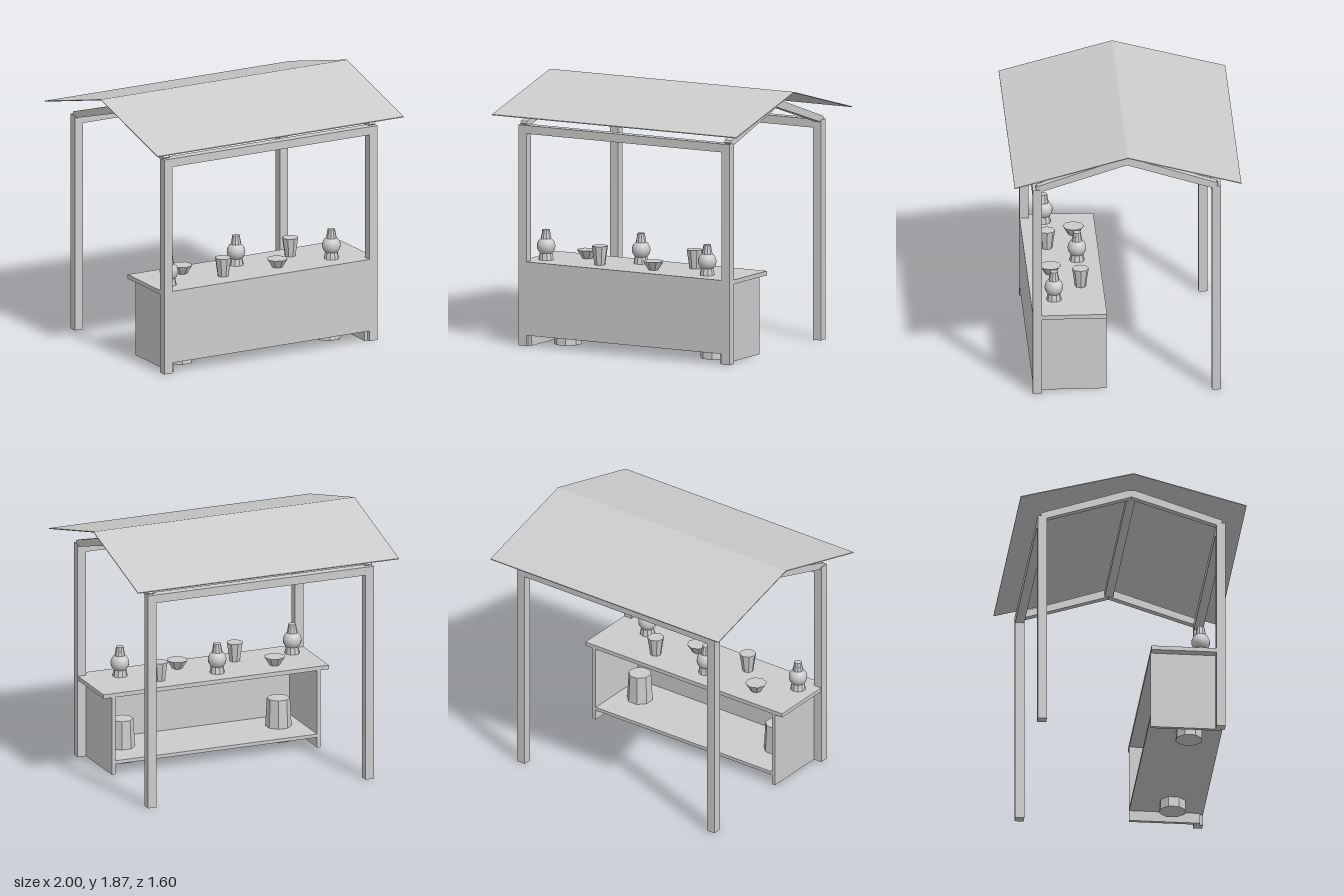
import * as THREE from 'three';

export function createModel() {
  const stall = new THREE.Group();
  stall.name = 'marketStall';
  const grey = new THREE.MeshStandardMaterial({ color: 0xcccccc });
  grey.name = 'plainGrey';

  const add = (name, geometry, parent = stall) => {
    const mesh = new THREE.Mesh(geometry, grey);
    mesh.name = name;
    parent.add(mesh);
    return mesh;
  };
  // Box given by its minimum and maximum on each axis
  const box = (name, x0, x1, y0, y1, z0, z1) =>
    add(name, new THREE.BoxGeometry(x1 - x0, y1 - y0, z1 - z0))
      .position.set((x0 + x1) / 2, (y0 + y1) / 2, (z0 + z1) / 2);
  // Faceted upright cylinder standing on height y
  const facets = (name, top, bottom, height, y, sides, parent, turn = 0) => {
    const g = new THREE.CylinderGeometry(top, bottom, height, sides, 1, false, turn).toNonIndexed();
    g.computeVertexNormals();
    const mesh = add(name, g, parent);
    mesh.position.y = y + height / 2;
    return mesh;
  };
  // Outline of [z, y] points extruded along x about a centre
  const profile = (name, points, width, x) => {
    const shape = new THREE.Shape(points.map(([z, y]) => new THREE.Vector2(-z, y)));
    const g = new THREE.ExtrudeGeometry(shape, { depth: width, bevelEnabled: false });
    g.translate(0, 0, -width / 2).rotateY(Math.PI / 2);
    add(name, g).position.x = x;
  };

  // Posts and rafters
  for (const s of [-1, 1]) {
    for (const t of [-1, 1]) {
      const post = add('post', new THREE.BoxGeometry(0.065, 1.575, 0.065));
      post.position.set(s * 0.8325, 0.7875, t * 0.6325);
    }
    profile('rafterPair', [
      [0.61, 1.557], [0.645, 1.585], [0.635, 1.6], [0.03, 1.8], [-0.03, 1.8],
      [-0.635, 1.6], [-0.645, 1.585], [-0.61, 1.557], [0, 1.75],
    ], 0.05, s * 0.835);
  }

  // Long beams
  box('frontBeam', -0.8, 0.8, 1.515, 1.575, 0.6, 0.665);
  box('backBeam', -0.8, 0.8, 1.515, 1.575, -0.665, -0.6);
  box('ridgeBeam', -0.81, 0.81, 1.75, 1.8, -0.03, 0.03);

  // Thin folded roof
  profile('roof', [
    [0.8, 1.65], [0.8, 1.656], [0, 1.87], [-0.8, 1.656], [-0.8, 1.65], [0, 1.864],
  ], 2, 0);

  // Counter
  box('counterTop', -0.863, 0.863, 0.57, 0.6, 0.14, 0.664);
  box('counterFront', -0.8, 0.8, 0.075, 0.57, 0.64, 0.664);
  box('counterShelf', -0.775, 0.775, 0.075, 0.1, 0.14, 0.64);
  for (const s of [-1, 1]) {
    add('counterSide', new THREE.BoxGeometry(0.027, 0.57, 0.5)).position.set(s * 0.7865, 0.285, 0.39);
  }

  // Large pots below the counter
  for (const s of [-1, 1]) {
    facets('storagePot', 0.082, 0.098, 0.306, 0, 8, stall, Math.PI / 8).position.set(s * 0.6, 0.153, 0.43);
  }

  // Row of vases, bowls and cups in two staggered lines
  for (let i = 0; i < 7; i++) {
    const ware = new THREE.Group();
    ware.name = ['vase', 'bowl', 'cup'][i % 3];
    ware.position.set(-0.735 + i * 0.22, 0.6, i % 2 ? 0.3 : 0.5);
    stall.add(ware);
    if (i % 3 === 0) {
      facets('vaseFoot', 0.045, 0.054, 0.05, 0, 10, ware);
      add('vaseBody', new THREE.SphereGeometry(0.066, 16, 12), ware).position.y = 0.097;
      facets('vaseShoulder', 0.032, 0.04, 0.04, 0.142, 10, ware);
      facets('vaseNeck', 0.027, 0.032, 0.035, 0.18, 10, ware);
    } else if (i % 3 === 1) {
      facets('bowlBody', 0.076, 0.036, 0.062, 0, 8, ware);
    } else {
      facets('cupBody', 0.059, 0.039, 0.135, 0, 8, ware);
    }
  }
  return stall;
}
